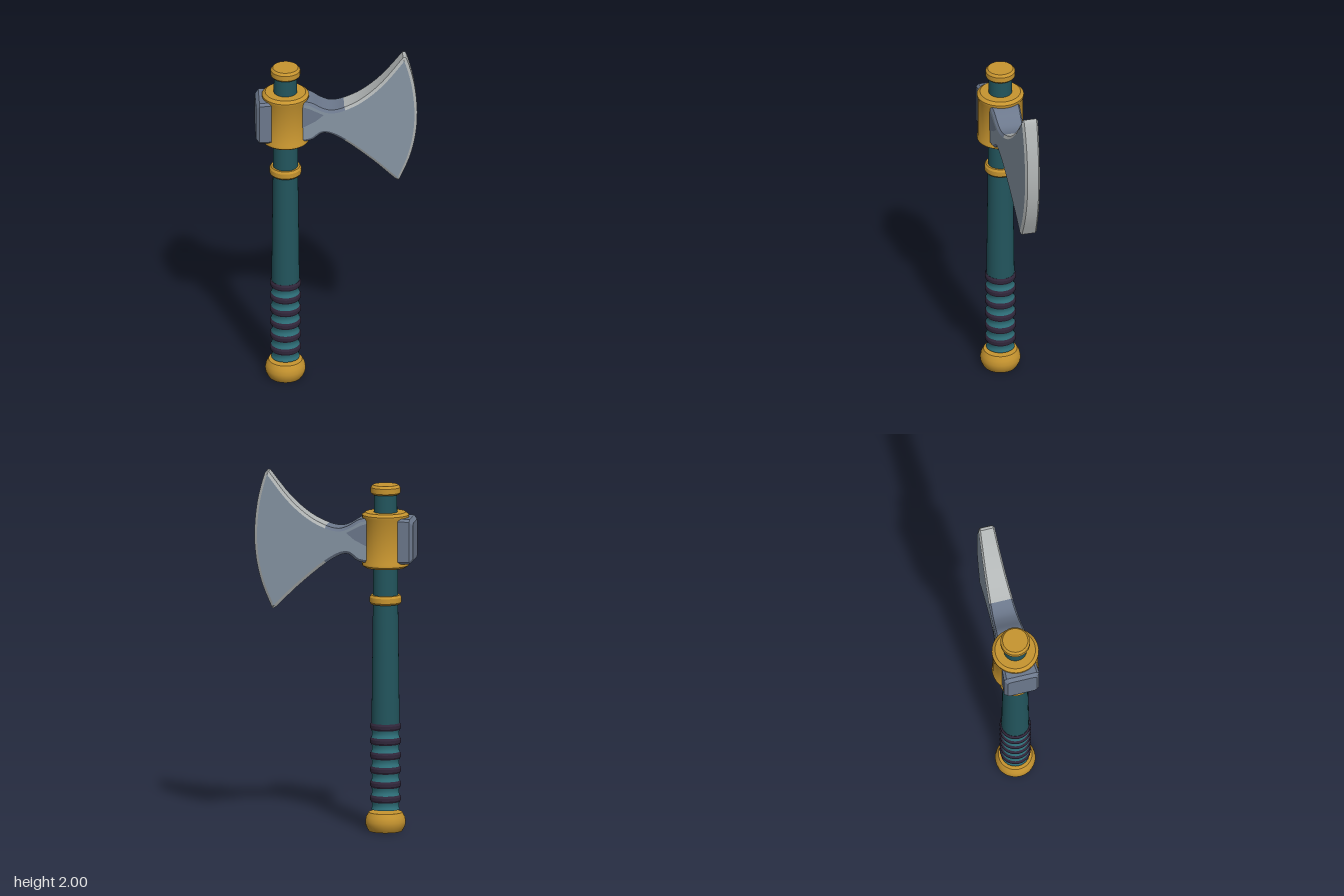
import * as THREE from 'three';
import { toCreasedNormals } from 'three/addons/utils/BufferGeometryUtils.js';
import { ConvexGeometry } from 'three/addons/geometries/ConvexGeometry.js';

const AXIS = -0.283; // x of the shaft
const mat = (name, color, side = THREE.FrontSide) => {
  const m = new THREE.MeshStandardMaterial({ color, side });
  m.name = name;
  return m;
};
const v2 = (list) => list.map(([x, y]) => new THREE.Vector2(x, y));

// Half thickness of the head, tapering towards the cutting edge
const thick = (x) => 0.071 - 0.0674 * x;

export function createModel() {
  const group = new THREE.Group();
  group.name = 'axe';
  const gold = mat('gold', 0xc6942f);
  const teal = mat('dark teal', 0x22555d);
  const gripTeal = mat('grip teal', 0x2f727c);
  const wrap = mat('dark wrap', 0x30263a);
  const steel = mat('steel', 0x8694a3);
  const darkSteel = mat('dark steel', 0x6c788c);
  const edgeSteel = mat('edge steel', 0xb2b6b6);

  const add = (name, geometry, material) => {
    const mesh = new THREE.Mesh(geometry, material);
    mesh.name = name;
    group.add(mesh);
    return mesh;
  };
  const turned = (name, profile, material) => {
    const geo = toCreasedNormals(new THREE.LatheGeometry(v2(profile), 32), 0.5);
    add(name, geo, material).position.x = AXIS;
  };

  // Shaft and gold fittings
  turned('shaft', [[0.078, 0.58], [0.07, 1.25], [0.064, 1.9]], teal);
  turned('pommel', [[0, 0], [0.092, 0], [0.1, 0.012], [0.11, 0.035], [0.112, 0.055],
    [0.107, 0.08], [0.093, 0.105], [0, 0.108]], gold);
  turned('collar', [[0.06, 1.27], [0.08, 1.27], [0.088, 1.28], [0.088, 1.308],
    [0.08, 1.32], [0.06, 1.32]], gold);
  turned('topCap', [[0, 1.883], [0.074, 1.883], [0.082, 1.892], [0.082, 1.922],
    [0.07, 1.936], [0, 1.936]], gold);
  turned('socket', [[0.06, 1.475], [0.112, 1.475], [0.13, 1.488], [0.13, 1.5],
    [0.126, 1.508], [0.126, 1.75], [0.13, 1.758], [0.13, 1.77], [0.112, 1.784], [0.06, 1.784]], gold);

  // Grip: dark ridges with waisted teal sections between them
  const step = 0.0805;
  for (let i = 0; i < 6; i++) {
    const y = 0.183 + i * step;
    turned('gripRidge', [[0.079, y - 0.019], [0.086, y - 0.008], [0.086, y + 0.008],
      [0.079, y + 0.019]], wrap);
    turned('gripSection', [[0.079, y - step + 0.019], [0.074, y - step / 2 - 0.008],
      [0.074, y - step / 2 + 0.008], [0.079, y - 0.019]], gripTeal);
  }
  turned('gripTop', [[0.079, 0.604], [0.06, 0.606]], wrap);

  // Hammer block behind the socket, chamfered along its edges
  const corners = [];
  for (const [x, h, w] of [[-0.449, 0.105, 0.083], [-0.43, 0.125, 0.1], [-0.3, 0.13, 0.091]]) {
    for (const sy of [-1, 1]) for (const sz of [-1, 1]) {
      corners.push(new THREE.Vector3(x, 1.632 + sy * h, sz * (w - 0.014)));
      corners.push(new THREE.Vector3(x, 1.632 + sy * (h - 0.014), sz * w));
    }
  }
  add('hammerBlock', new ConvexGeometry(corners), darkSteel);

  // Blade outline, clockwise from the socket
  const SUB = 4;
  const curve = (list) => new THREE.SplineCurve(v2(list)).getPoints((list.length - 1) * SUB);
  const top = curve([[-0.22, 1.757], [-0.15, 1.75], [-0.085, 1.712], [-0.03, 1.695],
    [0.04, 1.709], [0.14, 1.76], [0.25, 1.856], [0.365, 2]]);
  const edge = curve([[0.365, 2], [0.388, 1.985], [0.428, 1.83], [0.444, 1.66],
    [0.434, 1.51], [0.4, 1.37], [0.345, 1.24]]);
  const bottom = curve([[0.345, 1.24], [0.32, 1.247], [0.2, 1.365], [0.04, 1.5],
    [-0.07, 1.556], [-0.14, 1.516], [-0.22, 1.505]]);
  const outline = [...top, ...edge.slice(1), ...bottom.slice(1)];

  // Inset outline for the bevel
  const inset = outline.map((p, i) => {
    const dir = (a, b) => b.clone().sub(a).normalize();
    const d1 = i ? dir(outline[i - 1], p) : dir(p, outline[1]);
    const d2 = i < outline.length - 1 ? dir(p, outline[i + 1]) : d1;
    const n1 = new THREE.Vector2(d1.y, -d1.x);
    const n2 = new THREE.Vector2(d2.y, -d2.x);
    const n = n1.clone().add(n2).normalize();
    return p.clone().addScaledVector(n, 0.016 / Math.max(n.dot(n1), 0.6));
  });

  // Rings across the rim: front inset, front outer, back outer, back inset
  const ring = (k, i) => {
    const p = k === 0 || k === 3 ? inset[i] : outline[i];
    const z = thick(p.x) - (k === 0 || k === 3 ? 0 : 0.01);
    return [p.x, p.y, k < 2 ? z : -z];
  };
  const rim = (name, from, to, material) => {
    const pos = [], index = [];
    for (let k = 0; k < 3; k++) {
      for (let i = from; i <= to; i++) {
        const a = pos.length / 3;
        pos.push(...ring(k, i), ...ring(k + 1, i));
        if (i < to) index.push(a, a + 2, a + 3, a, a + 3, a + 1);
      }
    }
    const geo = new THREE.BufferGeometry();
    geo.setAttribute('position', new THREE.Float32BufferAttribute(pos, 3));
    geo.setIndex(index);
    geo.computeVertexNormals();
    add(name, geo, material);
  };
  const tip = 7 * SUB, heel = tip + 6 * SUB;
  rim('neckTop', 0, 4 * SUB, darkSteel);
  rim('bladeTopRim', 4 * SUB, tip, edgeSteel);
  rim('cuttingEdge', tip, heel, edgeSteel);
  rim('bladeBottomRim', heel, heel + 3 * SUB, edgeSteel);
  rim('neckBottom', heel + 3 * SUB, outline.length - 1, darkSteel);

  // Cheeks on both sides, with a darker facet next to the socket
  const face = (name, points, lift, material) => {
    for (const s of [1, -1]) {
      const geo = new THREE.ShapeGeometry(new THREE.Shape(points));
      const p = geo.attributes.position;
      for (let i = 0; i < p.count; i++) p.setZ(i, s * (thick(p.getX(i)) + lift));
      if (s < 0) geo.index.array.reverse();
      geo.computeVertexNormals();
      add(name, geo, material);
    }
  };
  face('bladeCheek', inset, 0, steel);
  face('neckFacet', v2([[-0.21, 1.735], [-0.155, 1.715], [-0.075, 1.672], [-0.12, 1.635],
    [-0.21, 1.59]]), 0.002, darkSteel);

  return group;
}
